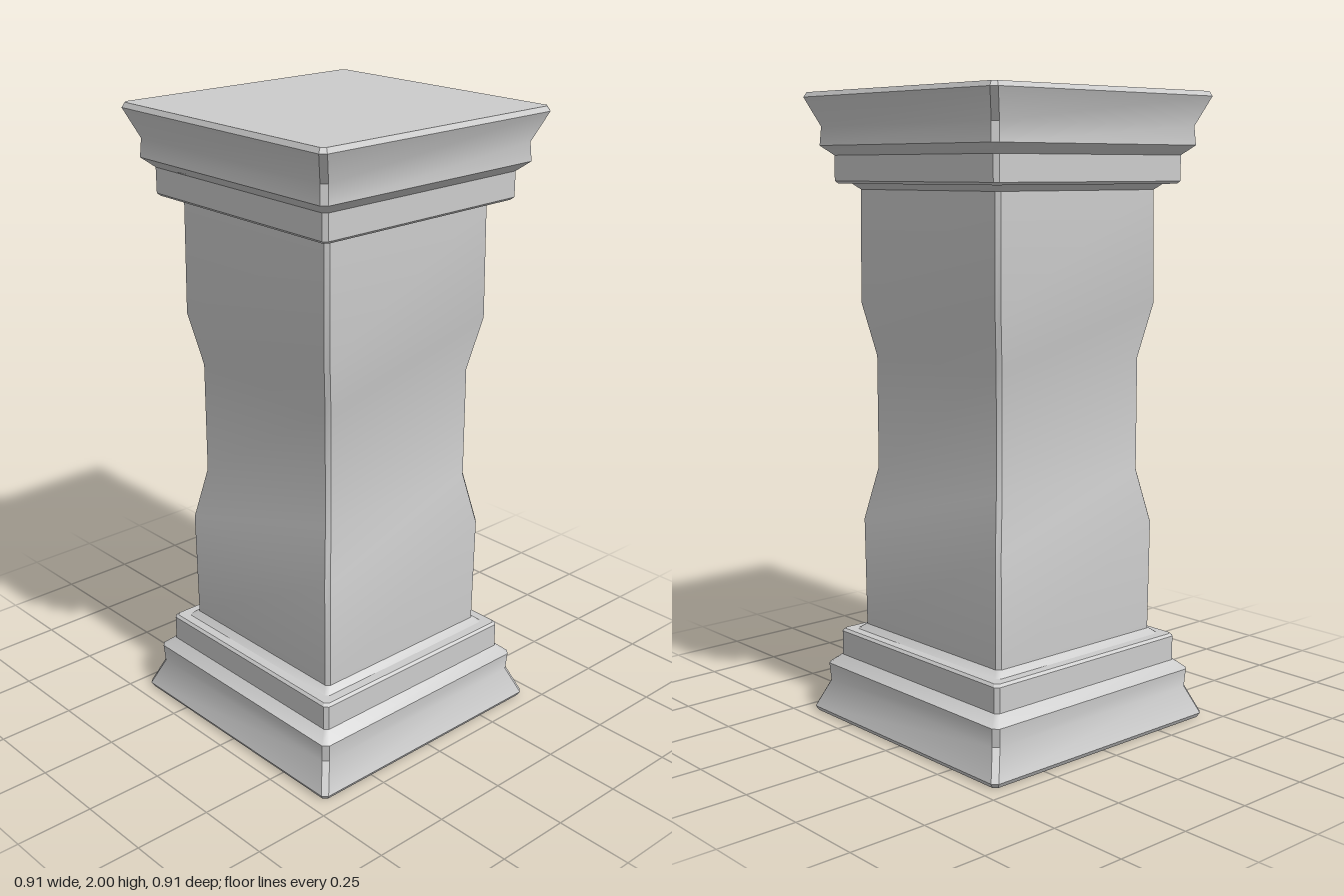
import * as THREE from 'three';
import { toCreasedNormals } from 'three/addons/utils/BufferGeometryUtils.js';

const material = new THREE.MeshStandardMaterial({ color: 0xcccccc });

// Square ring of half-width w with corners cut by c, anticlockwise from above
function ring([w, y, c = 0.012]) {
  const points = [];
  for (let k = 0; k < 4; k++) {
    for (const s of [1, -1]) {
      let x = w, z = s * (w - c);
      for (let r = 0; r < k; r++) [x, z] = [z, -x];
      points.push([x, y, z]);
    }
  }
  return points;
}

// Skin a stack of rings listed from bottom to top, capped where asked
function loft(name, profile, capBottom, capTop) {
  const rings = profile.map(ring);
  const n = 8, index = [];
  for (let j = 0; j < rings.length - 1; j++) {
    for (let i = 0; i < n; i++) {
      const a = j * n + i, b = j * n + (i + 1) % n;
      index.push(a, b, b + n, a, b + n, a + n);
    }
  }
  const top = (rings.length - 1) * n;
  for (let i = 1; i < n - 1; i++) {
    if (capBottom) index.push(0, i + 1, i);
    if (capTop) index.push(top, top + i, top + i + 1);
  }
  const geometry = new THREE.BufferGeometry();
  geometry.setAttribute('position', new THREE.Float32BufferAttribute(rings.flat(2), 3));
  geometry.setIndex(index);
  const mesh = new THREE.Mesh(toCreasedNormals(geometry, 0.5), material);
  mesh.name = name;
  return mesh;
}

// Same profile turned upside down about mid-height
const flip = (profile) => profile.map(([w, y, c]) => [w, 2 - y, c]).reverse();

export function createModel() {
  const group = new THREE.Group();
  group.name = 'pedestal';

  // Flared foot, stepped block and collar: [half-width, height, corner cut]
  const foot = [
    [0.445, 0, 0.012], [0.454, 0.015, 0.016], [0.416, 0.105, 0.016],
    [0.42, 0.163, 0.016], [0.386, 0.193], [0.386, 0.272],
    [0.378, 0.28], [0.348, 0.28], [0.328, 0.298],
  ];
  // Shaft with a narrowed waist
  const lowerShaft = [[0.328, 0.298], [0.331, 0.65], [0.297, 0.82]];

  group.add(
    loft('base', foot, true, false),
    loft('shaft', [...lowerShaft, ...flip(lowerShaft)], false, false),
    loft('capital', flip(foot), false, true),
  );
  return group;
}
